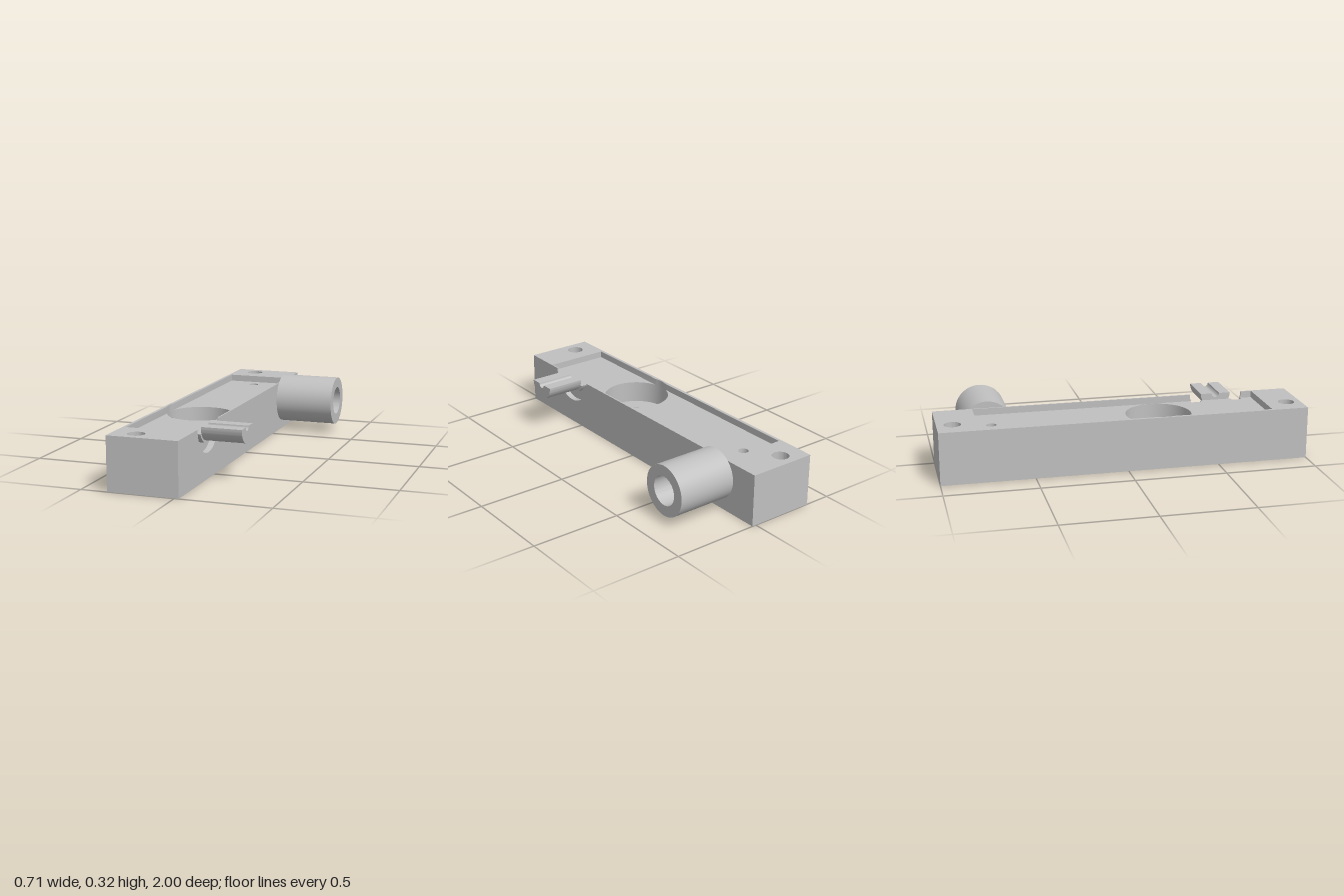
import * as THREE from 'three';
import { toCreasedNormals } from 'three/addons/utils/BufferGeometryUtils.js';

const V = (x, y) => new THREE.Vector2(x, y);

// Points along an arc, from angle a to angle b
function arc(cx, cy, r, a, b, n = 40) {
  return Array.from({ length: n + 1 }, (_, i) => {
    const t = a + ((b - a) * i) / n;
    return V(cx + r * Math.cos(t), cy + r * Math.sin(t));
  });
}
const circle = (cx, cy, r) => arc(cx, cy, r, 0, -2 * Math.PI, 56);

function shapeOf(points, holes = []) {
  const s = new THREE.Shape(points);
  for (const h of holes) s.holes.push(new THREE.Path(h));
  return s;
}

// Plan outlines are (x, -z) rising along y; side outlines are (-z, y) running along x
const plan = (g) => g.rotateX(-Math.PI / 2);
const side = (g) => g.rotateY(Math.PI / 2);

// Flat face at a given height above the sketch plane
const face = (points, h, holes) => new THREE.ShapeGeometry(shapeOf(points, holes)).translate(0, 0, h);

// Wall swept from height a to height b along a path
function wall(points, a, b) {
  const pos = [];
  for (let i = 0; i < points.length - 1; i++) {
    const p = points[i], q = points[i + 1];
    pos.push(p.x, p.y, a, q.x, q.y, a, q.x, q.y, b, p.x, p.y, a, q.x, q.y, b, p.x, p.y, b);
  }
  const g = new THREE.BufferGeometry();
  g.setAttribute('position', new THREE.Float32BufferAttribute(pos, 3));
  return toCreasedNormals(g, 0.5);
}

function prism(points, a, b, holes) {
  const g = new THREE.ExtrudeGeometry(shapeOf(points, holes), { depth: b - a, bevelEnabled: false });
  return toCreasedNormals(g.translate(0, 0, a), 0.5);
}

export function createModel() {
  const model = new THREE.Group();
  model.name = 'machinedBlock';
  const metal = new THREE.MeshStandardMaterial({ color: 0xc0c0c0, side: THREE.DoubleSide });
  metal.name = 'greyMetal';
  const add = (name, geometry) => {
    const m = new THREE.Mesh(geometry, metal);
    m.name = name;
    model.add(m);
  };

  // Main sizes
  const L = -0.357, R = 0.023, H = 0.287, floorY = 0.25, ledgeY = 0.13;
  const pL = -0.34, pR = 0.015, pFront = -0.8, pBack = 0.785;
  const bore = { x: -0.166, u: -0.21, r: 0.18 };
  const bulge = Math.acos((bore.x - pL) / bore.r);
  const port = { u: 0.705, y: 0.184, r: 0.023 };
  const stubU = -0.59, grooveR = 0.15, bossR = 0.098, grooveX = -0.01;
  const drop = H - floorY;
  const gw = Math.sqrt(grooveR ** 2 - drop ** 2), bw = Math.sqrt(bossR ** 2 - drop ** 2);
  const ga = Math.asin(drop / grooveR), ba = Math.asin(drop / bossR);
  const PI = Math.PI;

  // Outer block
  add('blockEnds', plan(wall([V(R, 1), V(L, 1), V(L, -1), V(R, -1)], 0, H)));
  const underside = face([V(L, -1), V(R, -1), V(R, 1), V(L, 1)], 0, [circle(bore.x, bore.u, 0.09)]);
  underside.index.array.reverse();
  underside.attributes.normal.array.forEach((v, i, n) => { n[i] = -v; });
  add('underside', plan(underside));
  add('blockSide', side(face(
    [V(-1, 0), V(1, 0), V(1, H), ...arc(stubU, H, grooveR, 0, -PI), V(-1, H)],
    R, [circle(port.u, port.y, port.r)])));

  // Rim and pocket
  const pocket = [
    V(pR, stubU - grooveR), V(pR, pFront), V(pL, pFront),
    ...arc(bore.x, bore.u, bore.r, PI + bulge, PI - bulge, 12),
    V(pL, pBack), V(pR, pBack), V(pR, stubU + grooveR),
  ];
  const screws = [[-0.23, 0.915], [-0.23, -0.92]];
  add('rim', plan(face(
    [...pocket, V(R, stubU + grooveR), V(R, 1), V(L, 1), V(L, -1), V(R, -1), V(R, stubU - grooveR)],
    H, screws.map(([x, u]) => circle(x, u, 0.045)))));
  add('pocketWall', plan(wall(pocket, floorY, H)));
  add('pocketFloor', plan(face([
    V(pR, pFront), V(pL, pFront),
    ...arc(bore.x, bore.u, bore.r, -PI + bulge, PI - bulge, 56),
    V(pL, pBack), V(pR, pBack),
    V(pR, stubU + gw), V(grooveX, stubU + gw), V(grooveX, stubU + bw), V(pR, stubU + bw),
    V(pR, stubU - bw), V(grooveX, stubU - bw), V(grooveX, stubU - gw), V(pR, stubU - gw),
  ], floorY, [circle(-0.168, port.u, 0.027)])));

  // Blind screw holes in the rim
  for (const [x, u] of screws) {
    add('screwHole', plan(wall(circle(x, u, 0.045), 0.1, H)));
    add('screwHoleFloor', plan(face(circle(x, u, 0.045), 0.1)));
  }

  // Counterbore and through hole
  add('counterboreWall', plan(wall(circle(bore.x, bore.u, bore.r), ledgeY, floorY)));
  add('counterboreLedge', plan(face(circle(bore.x, bore.u, bore.r), ledgeY, [circle(bore.x, bore.u, 0.09)])));
  add('throughHole', plan(wall(circle(bore.x, bore.u, 0.09), 0, ledgeY)));

  // Small port joining the pocket to the side tube
  add('portDrop', plan(wall(circle(-0.168, port.u, 0.027), port.y - port.r, floorY)));
  add('portFloor', plan(face(circle(-0.168, port.u, 0.027), port.y - port.r)));
  add('portPassage', side(wall(circle(port.u, port.y, port.r), -0.145, R)));

  // Side tube
  add('sideTube', side(prism(circle(port.u, port.y, 0.139), R, 0.357, [circle(port.u, port.y, 0.08)])));

  // Half-round groove with its boss
  add('grooveWall', side(wall(arc(stubU, H, grooveR, -ga, -PI + ga), grooveX, pR)));
  add('grooveLip', side(wall(arc(stubU, H, grooveR, 0, -PI), pR, R)));
  add('grooveFloor', side(face(
    [...arc(stubU, H, grooveR, -PI + ga, -ga), ...arc(stubU, H, bossR, -ba, -PI + ba)], grooveX)));
  add('bossWall', side(wall(arc(stubU, H, bossR, -PI + ba, -ba), grooveX, pR)));
  add('bossFace', side(face(arc(stubU, H, bossR, -PI + ba, -ba), pR)));

  // Half-round stub with a channel along its top
  add('stub', side(prism(
    [...arc(stubU, H, 0.085, -PI, 0), ...arc(stubU, H, 0.022, 0, -PI, 16)], pR, 0.233)));

  return model;
}
